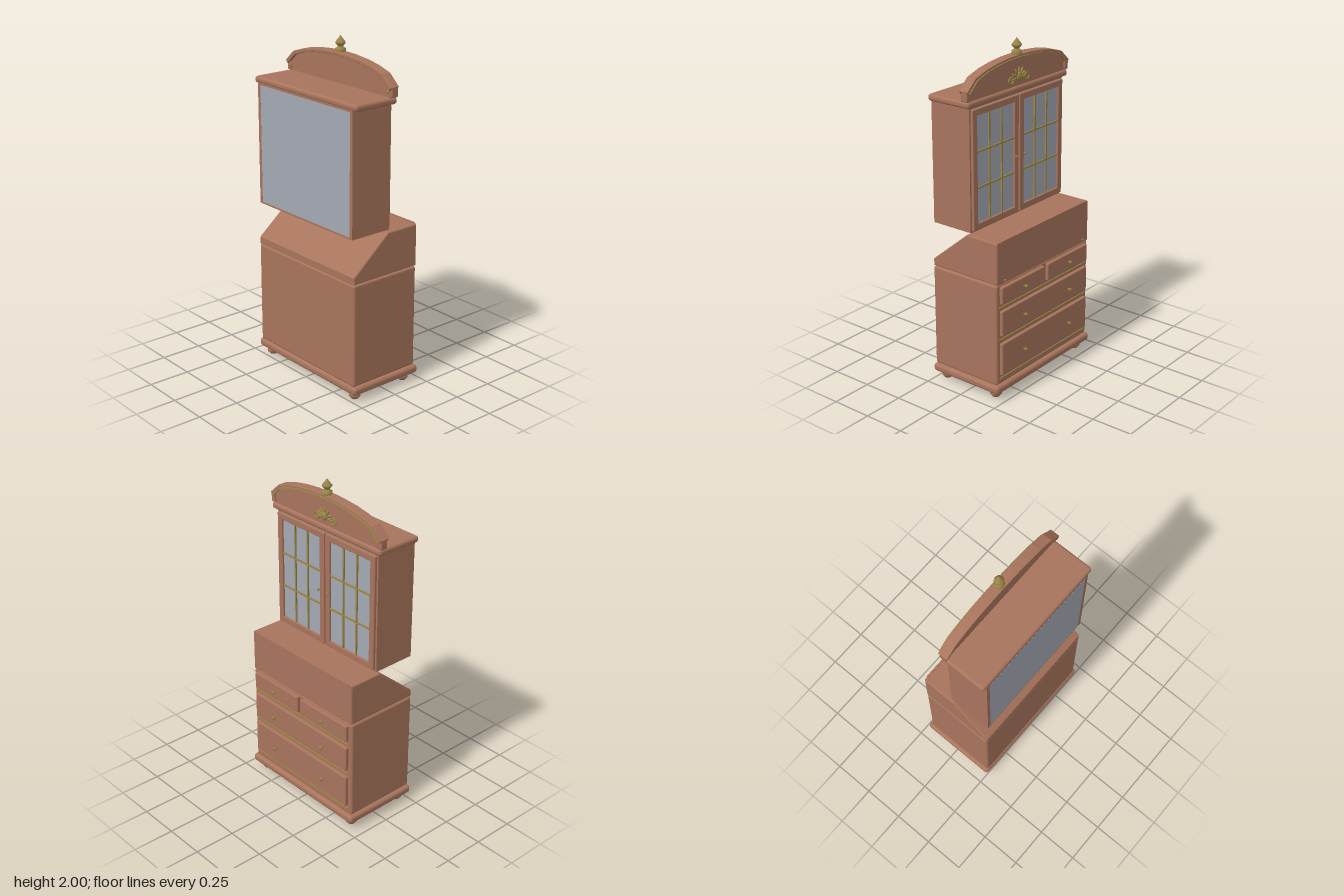
import * as THREE from 'three';
import { RoundedBoxGeometry } from 'three/addons/geometries/RoundedBoxGeometry.js';

export function createModel() {
  const model = new THREE.Group();
  const mat = (name, color) => {
    const m = new THREE.MeshStandardMaterial({ color });
    m.name = name;
    return m;
  };
  const wood = mat('wood', 0xa8745c);
  const glass = mat('glass', 0xa3a9b3);
  const brass = mat('brass', 0x9c8648);

  const add = (name, geometry, material, x = 0, y = 0, z = 0) => {
    const mesh = new THREE.Mesh(geometry, material);
    mesh.name = name;
    mesh.position.set(x, y, z);
    model.add(mesh);
    return mesh;
  };
  // Box given by its limits, optionally with rounded edges
  const box = (name, material, x0, x1, y0, y1, z0, z1, r = 0) => {
    const s = [x1 - x0, y1 - y0, z1 - z0];
    const g = r ? new RoundedBoxGeometry(...s, 2, r) : new THREE.BoxGeometry(...s);
    return add(name, g, material, (x0 + x1) / 2, (y0 + y1) / 2, (z0 + z1) / 2);
  };
  const lathe = (points, sides) =>
    new THREE.LatheGeometry(points.map(([r, y]) => new THREE.Vector2(r, y)), sides);
  const extrude = (points, depth, bevel = 0) => new THREE.ExtrudeGeometry(
    new THREE.Shape(points.map(([x, y]) => new THREE.Vector2(x, y))),
    { depth, bevelEnabled: bevel > 0, bevelSize: bevel, bevelThickness: bevel, bevelOffset: -bevel, bevelSegments: 2 });

  // Bun feet and plinth
  const bun = lathe([[0, 0], [0.02, 0], [0.034, 0.016], [0.034, 0.032], [0.022, 0.05], [0.022, 0.06]], 14);
  for (const x of [-0.38, 0.38]) for (const z of [0.2, -0.165]) add('foot', bun, wood, x, 0.005, z);
  box('plinth', wood, -0.445, 0.445, 0.05, 0.1, -0.23, 0.257, 0.02);

  // Chest of drawers
  box('chest', wood, -0.428, 0.428, 0.1, 0.718, -0.212, 0.25, 0.014);

  // Knob pointing to -z
  const knobShape = lathe([[0.004, 0], [0.004, 0.012], [0.011, 0.017], [0.011, 0.024], [0, 0.029]], 8);
  knobShape.rotateX(-Math.PI / 2);
  const knob = (x, y, z, s = 1) => add('knob', knobShape, brass, x, y, z).scale.setScalar(s);

  // Drawers with brass dividing strips
  const drawer = (x0, x1, y0, y1) => box('drawer', wood, x0, x1, y0, y1, -0.232, -0.205, 0.007);
  drawer(-0.4, 0.4, 0.16, 0.36);
  drawer(-0.4, 0.4, 0.405, 0.56);
  for (const s of [-1, 1]) {
    drawer(Math.min(s * 0.015, s * 0.4), Math.max(s * 0.015, s * 0.4), 0.6, 0.705);
    for (const y of [0.26, 0.48, 0.655]) knob(s * 0.21, y, -0.23);
    knob(s * 0.365, 0.74, -0.21, 0.7);
  }
  for (const y of [0.14, 0.382, 0.58]) box('drawerStrip', brass, -0.405, 0.405, y - 0.004, y + 0.004, -0.218, -0.21);

  // Slant desk section
  const desk = extrude([[-0.25, 0.72], [0.215, 0.72], [0.215, 0.97], [0, 0.97], [-0.25, 0.762]], 0.834, 0.008);
  desk.rotateY(Math.PI / 2);
  add('slantDesk', desk, wood, -0.417, 0, 0);
  box('deskLip', wood, -0.4, 0.4, 0.962, 0.974, -0.219, -0.208);

  // Upper cabinet shell around a glazed interior
  for (const s of [-1, 1]) box('cabinetSide', wood, s * 0.4 - 0.011, s * 0.4 + 0.011, 0.98, 1.7, -0.018, 0.25);
  box('cabinetFloor', wood, -0.405, 0.405, 0.978, 0.99, -0.018, 0.249);
  box('cabinetRoof', wood, -0.405, 0.405, 1.685, 1.7, -0.018, 0.249);
  box('interiorGlass', glass, -0.39, 0.39, 0.989, 1.687, -0.016, 0.2495);
  box('cornice', wood, -0.442, 0.442, 1.693, 1.733, -0.04, 0.252, 0.017);

  // Two glazed doors with three by three panes
  for (const s of [-1, 1]) {
    const part = (name, m, a, b, y0, y1, z0, z1, r) =>
      box(name, m, Math.min(s * a, s * b), Math.max(s * a, s * b), y0, y1, z0, z1, r);
    part('doorStile', wood, 0.004, 0.042, 0.988, 1.682, -0.034, -0.012, 0.005);
    part('doorStile', wood, 0.362, 0.4, 0.988, 1.682, -0.034, -0.012, 0.005);
    part('doorRail', wood, 0.03, 0.375, 0.988, 1.026, -0.033, -0.012, 0.005);
    part('doorRail', wood, 0.03, 0.375, 1.644, 1.682, -0.033, -0.012, 0.005);
    part('doorGlass', glass, 0.04, 0.365, 1.02, 1.65, -0.022, -0.015);
    for (const i of [1, 2]) {
      const x = 0.042 + i * 0.32 / 3, y = 1.026 + i * 0.618 / 3;
      part('glazingBar', brass, x - 0.005, x + 0.005, 1.024, 1.646, -0.03, -0.02);
      part('glazingBar', brass, 0.04, 0.364, y - 0.005, y + 0.005, -0.03, -0.02);
    }
    knob(s * 0.038, 1.33, -0.03, 0.75);
  }

  // Arched pediment: recessed board, rim and brass trim
  const arch = [[-0.45, 1.79], [-0.38, 1.853], [-0.29, 1.881], [-0.2, 1.897], [-0.1, 1.907], [0, 1.91],
    [0.1, 1.907], [0.2, 1.897], [0.29, 1.881], [0.38, 1.853], [0.45, 1.79]];
  const lower = (k, d) => arch.map(([x, y]) => [x * k, y - d]);
  const band = (k0, d0, k1, d1) => [...lower(k1, d1), ...lower(k0, d0).reverse()];
  add('pedimentBoard', extrude([[-0.435, 1.73], [0.435, 1.73], ...lower(0.965, 0.01).reverse()], 0.03), wood, 0, 0, -0.028);
  add('pedimentRim', extrude(band(1, 0, 0.965, 0.02), 0.052, 0.004), wood, 0, 0, -0.036);
  add('pedimentTrim', extrude(band(0.97, 0.012, 0.95, 0.02), 0.006), brass, 0, 0, -0.046);
  for (const s of [-1, 1]) {
    box('pedimentEnd', wood, s * 0.432 - 0.016, s * 0.432 + 0.016, 1.733, 1.79, -0.036, 0.008, 0.006);
    const boss = add('endBoss', new THREE.SphereGeometry(0.012, 8, 6), brass, s * 0.42, 1.763, 0.006);
    boss.scale.z = 0.5;
  }

  // Brass leaf ornament
  const leaf = new THREE.SphereGeometry(1, 8, 6);
  add('ornamentCentre', leaf, brass, 0, 1.785, -0.032).scale.set(0.022, 0.026, 0.012);
  for (let i = 0; i < 7; i++) {
    const a = -0.15 + i * (Math.PI + 0.3) / 6;
    const m = add('ornamentLeaf', leaf, brass, Math.cos(a) * 0.042, 1.78 + Math.sin(a) * 0.036, -0.03);
    m.scale.set(0.024, 0.008, 0.007);
    m.rotation.z = a;
  }
  for (const s of [-1, 1]) {
    const scroll = add('ornamentScroll', new THREE.TorusGeometry(0.018, 0.005, 6, 12), brass, s * 0.068, 1.772, -0.03);
    scroll.scale.x = 1.2;
  }

  // Turned finial
  add('finial', lathe([[0.026, 0], [0.03, 0.008], [0.03, 0.026], [0.016, 0.034], [0.016, 0.042], [0.028, 0.054],
    [0.028, 0.062], [0.012, 0.083], [0, 0.1]].map(([r, y]) => [r, y]), 8), brass, 0, 1.9, -0.014);

  return model;
}
